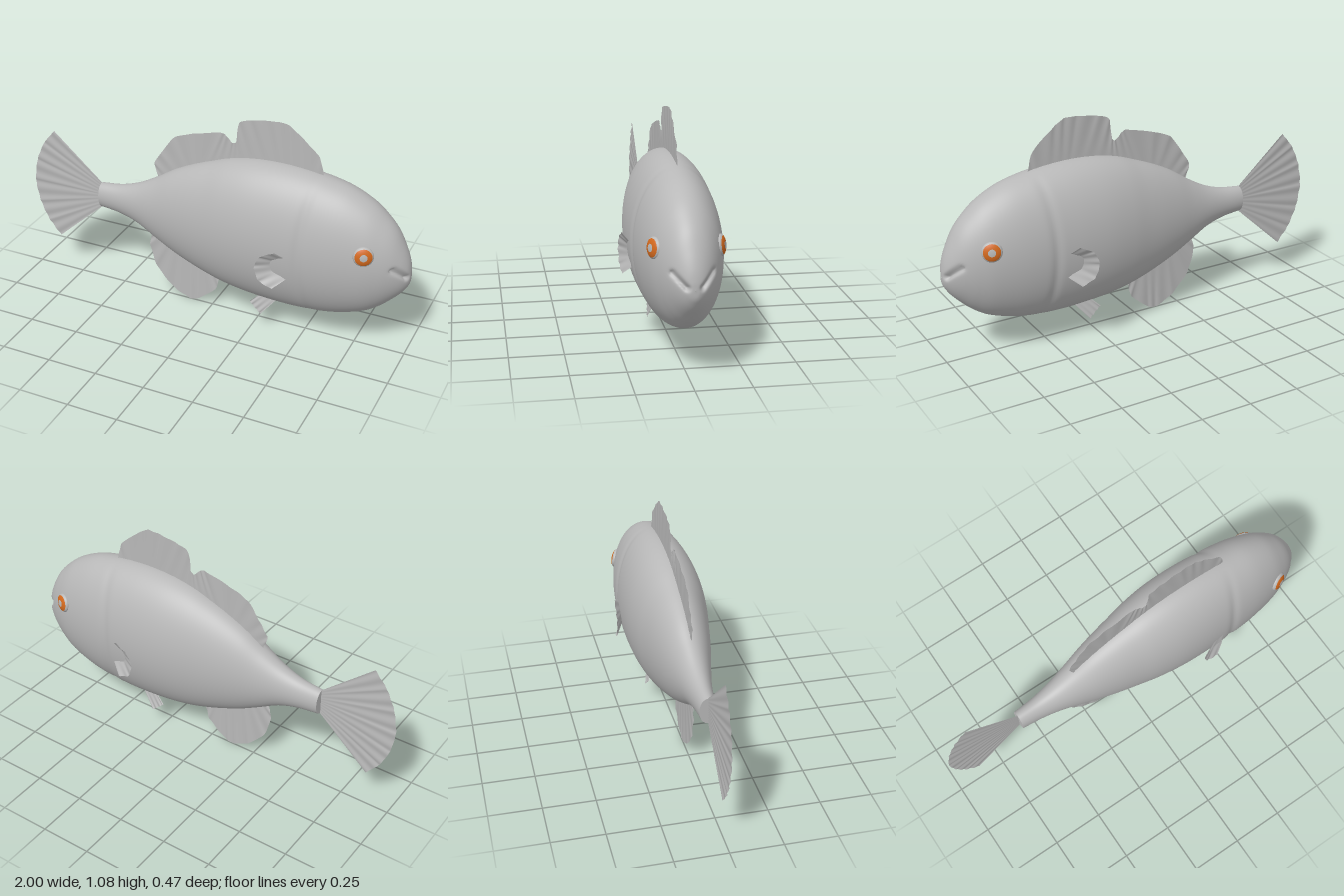
import * as THREE from 'three';

const skin = new THREE.MeshStandardMaterial({ color: 0xb8b8b8 });
skin.name = 'grey skin';
const finSkin = new THREE.MeshStandardMaterial({ color: 0xb8b8b8, side: THREE.DoubleSide });
finSkin.name = 'grey fin';
const orange = new THREE.MeshStandardMaterial({ color: 0xd2691e });
orange.name = 'orange iris';

// Body stations: [x, top, bottom, half width]
const stations = [
  [-0.61, 0.558, 0.428, 0.042], [-0.5, 0.572, 0.415, 0.052], [-0.4, 0.605, 0.385, 0.07],
  [-0.3, 0.66, 0.33, 0.094], [-0.2, 0.725, 0.277, 0.12], [-0.1, 0.775, 0.235, 0.143],
  [0, 0.815, 0.2, 0.163], [0.1, 0.85, 0.175, 0.183], [0.22, 0.873, 0.158, 0.198],
  [0.35, 0.88, 0.148, 0.202], [0.48, 0.872, 0.146, 0.198], [0.6, 0.852, 0.155, 0.191],
  [0.7, 0.825, 0.175, 0.178], [0.8, 0.775, 0.21, 0.156], [0.87, 0.718, 0.255, 0.129],
  [0.92, 0.662, 0.3, 0.102], [0.96, 0.59, 0.342, 0.072], [0.985, 0.53, 0.378, 0.045],
  [0.997, 0.48, 0.405, 0.022], [1, 0.442, 0.438, 0.001],
];

function mesh(name, geometry, material) {
  const m = new THREE.Mesh(geometry, material);
  m.name = name;
  return m;
}

// Triangles for a grid of rows x cols cells, optionally closed around
function gridGeometry(positions, rows, cols, closed) {
  const index = [];
  const stride = closed ? cols : cols + 1;
  for (let i = 0; i < rows; i++) {
    for (let j = 0; j < cols; j++) {
      const k = (j + 1) % stride;
      const a = i * stride + j, b = i * stride + k;
      index.push(a, b, a + stride, b, b + stride, a + stride);
    }
  }
  const g = new THREE.BufferGeometry();
  g.setAttribute('position', new THREE.Float32BufferAttribute(positions, 3));
  g.setIndex(index);
  g.computeVertexNormals();
  return g;
}

const gauss = (d, width) => Math.exp(-((d / width) ** 2));

// Mouth crease on each side of the snout
const crease = new THREE.Line3(new THREE.Vector3(0, 0.45, 0.035), new THREE.Vector3(0, 0.5, 0.085));
function creaseDepth(x, y, z) {
  if (x < 0.82) return 0;
  const p = new THREE.Vector3(0, y, Math.abs(z));
  const near = crease.closestPointToPoint(p, true, new THREE.Vector3());
  return 0.022 * gauss(p.distanceTo(near), 0.012);
}

function bodyGeometry() {
  const outline = new THREE.CatmullRomCurve3(
    stations.map(([x, top, bottom]) => new THREE.Vector3(x, top, bottom)), false, 'catmullrom');
  const widths = new THREE.CatmullRomCurve3(
    stations.map(([x, , , w]) => new THREE.Vector3(x, w, 0)), false, 'catmullrom');
  const rows = 190, cols = 96, pos = [];
  for (let i = 0; i <= rows; i++) {
    const { x, y: top, z: bottom } = outline.getPoint(i / rows);
    const w = widths.getPoint(i / rows).y;
    for (let j = 0; j < cols; j++) {
      const a = (j / cols) * Math.PI * 2;
      // Shallow gill groove bowed toward the tail
      const groove = 1 - 0.04 * gauss(x - 0.51 - 0.035 * Math.cos(a) ** 2, 0.022);
      const y = (top + bottom) / 2 + ((top - bottom) / 2) * Math.cos(a);
      const z = w * Math.sin(a) * groove;
      pos.push(x - creaseDepth(x, y, z), y, z);
    }
  }
  return gridGeometry(pos, rows, cols, true);
}

// Thin rippled sheet spanning from a base line to an outer edge
function finGeometry(base, edge, rays, side = 1) {
  const line = (pts) => new THREE.CatmullRomCurve3(
    pts.map(([x, y, z = 0]) => new THREE.Vector3(x, y, z * side)), false, 'catmullrom', 0.3);
  const inner = line(base), outer = line(edge);
  const rows = 6, cols = 120, pos = [];
  for (let i = 0; i <= rows; i++) {
    const v = i / rows;
    for (let j = 0; j <= cols; j++) {
      const u = j / cols;
      const p = inner.getPoint(u).lerp(outer.getPoint(u), v);
      pos.push(p.x, p.y, p.z + 0.002 * v * Math.sin(u * rays * Math.PI * 2));
    }
  }
  return gridGeometry(pos, rows, cols, false);
}

// Domed eye in three bands: pupil, iris and rim
function eye(name, side) {
  const g = new THREE.Group();
  g.name = name;
  const bands = [['Pupil', 0, 0.38, skin], ['Iris', 0.38, 0.62, orange], ['Rim', 1, 0.9, skin]];
  for (const [part, start, length, material] of bands) {
    const dome = new THREE.SphereGeometry(0.048, 32, 8, 0, Math.PI * 2, start, length);
    dome.scale(1, 0.45, 1);
    g.add(mesh(name + part, dome, material));
  }
  g.position.set(0.81, 0.575, 0.142 * side);
  g.quaternion.setFromUnitVectors(
    new THREE.Vector3(0, 1, 0), new THREE.Vector3(0.38, 0.12, 0.92 * side).normalize());
  return g;
}

export function createModel() {
  const fish = new THREE.Group();
  fish.name = 'fish';
  fish.add(mesh('body', bodyGeometry(), skin));

  // Flat end of the tail stalk
  const cap = new THREE.CircleGeometry(1, 48);
  cap.scale(0.042, 0.065, 1);
  cap.rotateY(-Math.PI / 2);
  cap.translate(-0.61, 0.493, 0);
  fish.add(mesh('tailStalkEnd', cap, skin));

  // Fins on the centre line
  fish.add(mesh('tailFin', finGeometry(
    [[-0.6, 0.552], [-0.6, 0.493], [-0.6, 0.434]],
    [[-0.87, 0.79], [-0.935, 0.71], [-0.98, 0.61], [-1, 0.49], [-0.98, 0.37], [-0.935, 0.27], [-0.87, 0.19]],
    11), finSkin));
  fish.add(mesh('dorsalFin', finGeometry(
    [[-0.285, 0.65], [-0.1, 0.74], [0.1, 0.82], [0.35, 0.85], [0.55, 0.84]],
    [[-0.295, 0.68], [-0.31, 0.735], [-0.27, 0.8], [-0.2, 0.895], [-0.1, 0.935], [0.04, 0.97], [0.07, 0.96],
      [0.1, 0.93], [0.12, 0.94], [0.135, 1.04], [0.2, 1.065], [0.3, 1.08], [0.37, 1.08], [0.43, 1.04],
      [0.53, 0.95], [0.557, 0.86]],
    18), finSkin));
  fish.add(mesh('analFin', finGeometry(
    [[-0.31, 0.36], [-0.2, 0.31], [-0.06, 0.25], [0.05, 0.21]],
    [[-0.33, 0.34], [-0.345, 0.27], [-0.31, 0.15], [-0.22, 0.05], [-0.13, 0.005], [-0.08, 0.015],
      [0.015, 0.095], [0.035, 0.16], [0.05, 0.19]],
    10), finSkin));

  // Paired fins and eyes
  for (const [label, side] of [['front', 1], ['back', -1]]) {
    fish.add(mesh(label + 'PectoralFin', finGeometry(
      [[0.46, 0.495, 0.19], [0.405, 0.468, 0.19], [0.4, 0.42, 0.19], [0.46, 0.385, 0.19]],
      [[0.415, 0.537, 0.226], [0.345, 0.5, 0.23], [0.318, 0.44, 0.232], [0.34, 0.372, 0.23], [0.405, 0.34, 0.226]],
      6, side), finSkin));
    fish.add(mesh(label + 'PelvicFin', finGeometry(
      [[0.29, 0.19, 0.075], [0.375, 0.18, 0.072]],
      [[0.24, 0.142, 0.088], [0.3, 0.09, 0.096]],
      4, side), finSkin));
    fish.add(eye(label + 'Eye', side));
  }
  return fish;
}
